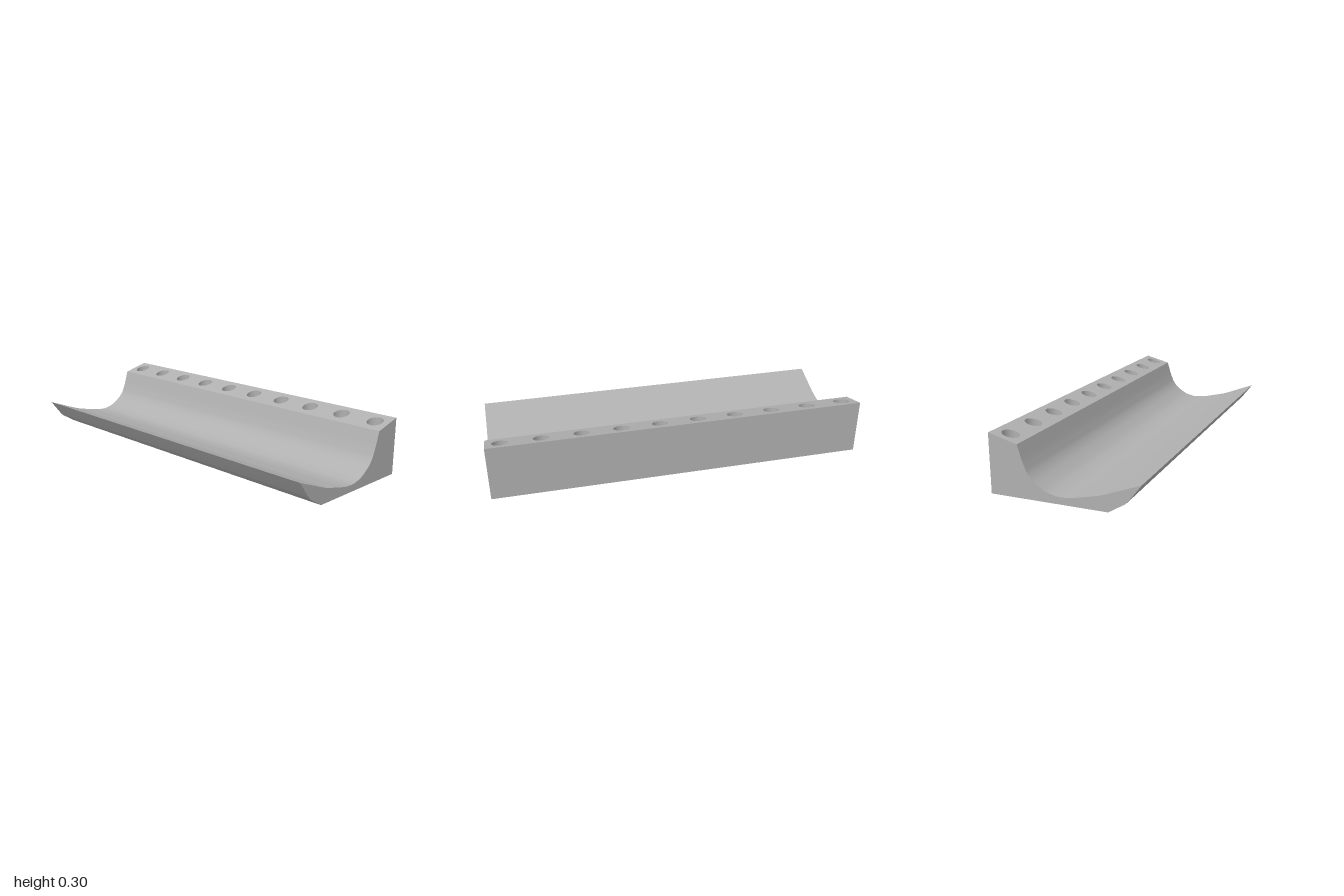
import * as THREE from 'three';

const HOLES = 10, HOLE_R = 0.042, HOLE_Z = -0.307, HOLE_FLOOR = 0.14, SEGS = 32;
const vec = (z, y) => new THREE.Vector2(z, y);
const smooth = (pairs, n) => new THREE.SplineCurve(pairs.map(p => vec(...p))).getPoints(n);
const slopeY = z => 0.26 + (-0.23 - z) * (0.04 / 0.15);

// Surface following a (z, y) profile across the full width
function strip(points) {
  const n = points.length - 1;
  const geo = new THREE.PlaneGeometry(2, 1, 1, n);
  const pos = geo.attributes.position;
  for (let i = 0; i < pos.count; i++) {
    const p = points[n - Math.floor(i / 2)];
    pos.setXYZ(i, pos.getX(i), p.y, p.x);
  }
  geo.computeVertexNormals();
  return geo;
}

export function createModel() {
  const model = new THREE.Group();
  const grey = new THREE.MeshStandardMaterial({ color: 0xb0b0b0 });
  grey.name = 'grey';
  const add = (name, geo) => {
    const mesh = new THREE.Mesh(geo, grey);
    mesh.name = name;
    model.add(mesh);
    return mesh;
  };

  // Cross-section, running from the front lip over the top to the back and underneath
  const channel = smooth([[0.38, 0.15], [0.29, 0.115], [0.2, 0.08], [0.15, 0.066], [0.1, 0.054],
    [0.04, 0.041], [-0.02, 0.036], [-0.06, 0.042], [-0.1, 0.056], [-0.15, 0.09],
    [-0.18, 0.124], [-0.197, 0.16], [-0.21, 0.195], [-0.23, 0.26]], 64);
  const lip = smooth([[0.22, 0], [0.26, 0.025], [0.304, 0.053], [0.327, 0.08],
    [0.35, 0.11], [0.38, 0.15]], 20);
  const backTop = vec(-0.38, 0.3), backBottom = vec(-0.38, 0);
  add('channel', strip(channel));
  add('backWall', strip([backTop, backBottom]));
  add('base', strip([backBottom, lip[0]]));
  add('lipUnderside', strip(lip));

  // End faces
  const outline = [...channel, backTop, backBottom, ...lip.slice(0, -1)];
  for (const side of [1, -1]) {
    const shape = new THREE.Shape(outline.map(p => vec(-side * p.x, p.y)));
    const geo = new THREE.ShapeGeometry(shape).rotateY(side * Math.PI / 2);
    add(side > 0 ? 'leftEnd' : 'rightEnd', geo.translate(side, 0, 0));
  }

  // Sloping rail top, pierced by a row of holes
  const rail = new THREE.Shape([vec(-1, 0.23), vec(1, 0.23), vec(1, 0.38), vec(-1, 0.38)]);
  for (let i = 0; i < HOLES; i++) {
    const x = -0.925 + i * 1.85 / (HOLES - 1);
    rail.holes.push(new THREE.Path().absarc(x, -HOLE_Z, HOLE_R, 0, Math.PI * 2, true));

    // Inward-facing wall whose rim follows the slope
    const wall = new THREE.LatheGeometry([vec(HOLE_R, 1), vec(HOLE_R, HOLE_FLOOR)], SEGS);
    wall.translate(x, 0, HOLE_Z);
    const pos = wall.attributes.position;
    for (let k = 0; k < pos.count; k++) {
      if (pos.getY(k) > 0.5) pos.setY(k, slopeY(pos.getZ(k)));
    }
    add('holeWall', wall);
    add('holeFloor', new THREE.CircleGeometry(HOLE_R, SEGS).rotateX(-Math.PI / 2)
      .translate(x, HOLE_FLOOR, HOLE_Z));
  }
  const top = new THREE.ShapeGeometry(rail, SEGS / 2).rotateX(-Math.PI / 2);
  const pos = top.attributes.position;
  for (let i = 0; i < pos.count; i++) pos.setY(i, slopeY(pos.getZ(i)));
  top.computeVertexNormals();
  add('railTop', top);

  return model;
}
